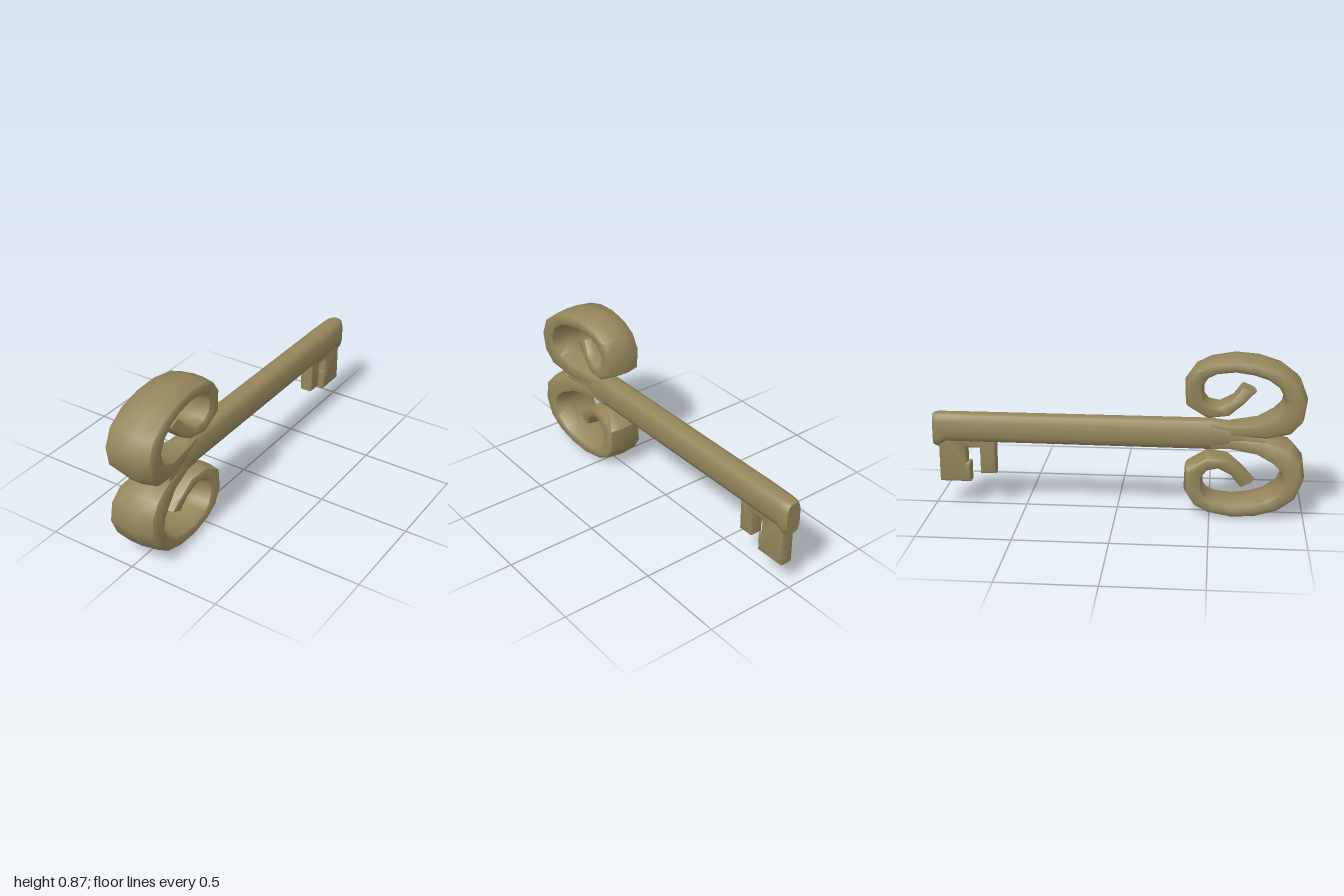
import * as THREE from 'three';
import { toCreasedNormals } from 'three/addons/utils/BufferGeometryUtils.js';

const material = new THREE.MeshStandardMaterial({ color: 0x94855a });
const MID = 0.436; // height of the shaft axis

// Half cross-sections: [share of half width, share from bottom to top]
const SCROLL = [[0.25, 1], [0.93, 0.88], [1, 0.72], [1, 0.28], [0.93, 0.12], [0.25, 0]];
const SHAFT = [[0.35, 1], [0.75, 0.95], [1, 0.75], [1, 0.25], [0.75, 0.05], [0.35, 0]];

// Lofts a symmetric section through stations [topZ, topY, bottomZ, bottomY, halfWidth]
function loft(name, stations, section) {
  const ringPoints = [
    ...section,
    ...section.slice().reverse().map(([x, s]) => [-x, s]),
  ];
  const n = ringPoints.length;
  const positions = [];
  for (const [tz, ty, bz, by, w] of stations) {
    for (const [x, s] of ringPoints) {
      positions.push(x * w, by + (ty - by) * s, bz + (tz - bz) * s);
    }
  }
  const index = [];
  for (let i = 0; i < stations.length - 1; i++) {
    for (let j = 0; j < n; j++) {
      const a = i * n + j, b = i * n + (j + 1) % n;
      index.push(a, a + n, b, b, a + n, b + n);
    }
  }
  const last = (stations.length - 1) * n;
  for (let j = 1; j < n - 1; j++) {
    index.push(0, j, j + 1, last, last + j + 1, last + j);
  }
  const geometry = new THREE.BufferGeometry();
  geometry.setAttribute('position', new THREE.Float32BufferAttribute(positions, 3));
  geometry.setIndex(index);
  const mesh = new THREE.Mesh(toCreasedNormals(geometry, 0.95), material);
  mesh.name = name;
  return mesh;
}

export function createModel() {
  const group = new THREE.Group();
  group.name = 'key';

  // Shaft, thickened at the tip and thinned where the scrolls fork
  const shaft = [
    [-1, 0.34, 0.515, 0.042], [-0.975, 0.33, 0.52, 0.052], [-0.93, 0.362, 0.52, 0.056],
    [-0.8, 0.363, 0.52, 0.06], [0.5, 0.358, 0.52, 0.061], [0.6, 0.37, 0.506, 0.065],
    [0.7, 0.385, 0.485, 0.08], [0.79, 0.42, 0.452, 0.095],
  ].map(([z, y0, y1, w]) => [z, y1, z, y0, w]);
  group.add(loft('shaft', shaft, SHAFT));

  // Upper scroll: inner edge, outer edge and half width along the curl
  const curl = [
    [0.50, 0.518, 0.50, 0.43, 0.055], [0.59, 0.507, 0.60, 0.43, 0.064],
    [0.74, 0.525, 0.79, 0.435, 0.1], [0.82, 0.568, 0.925, 0.47, 0.126],
    [0.865, 0.61, 0.985, 0.54, 0.135], [0.877, 0.66, 1.0, 0.65, 0.138],
    [0.845, 0.72, 0.96, 0.75, 0.136], [0.78, 0.765, 0.87, 0.82, 0.131],
    [0.71, 0.785, 0.75, 0.86, 0.124], [0.62, 0.796, 0.62, 0.872, 0.117],
    [0.53, 0.784, 0.49, 0.85, 0.11], [0.485, 0.76, 0.41, 0.81, 0.106],
    [0.46, 0.715, 0.36, 0.735, 0.102], [0.462, 0.66, 0.365, 0.61, 0.1],
    [0.485, 0.623, 0.48, 0.54, 0.092], [0.535, 0.61, 0.60, 0.555, 0.083],
    [0.605, 0.645, 0.68, 0.625, 0.073], [0.655, 0.715, 0.735, 0.68, 0.062],
  ];
  group.add(loft('upperScroll', curl, SCROLL));

  // Lower scroll mirrors the upper one across the shaft axis
  const mirrored = curl.map(([iz, iy, oz, oy, w]) => [oz, 2 * MID - oy, iz, 2 * MID - iy, w]);
  group.add(loft('lowerScroll', mirrored, SCROLL));

  // Notched bit under the tip, drawn with -z to the right and inset by the bevel
  const bevel = 0.012;
  const outline = [
    [0.672, 0.42], [0.672, 0.197], [0.733, 0.197], [0.733, 0.342], [0.832, 0.342],
    [0.832, 0.233], [0.812, 0.233], [0.812, 0.147], [0.958, 0.147], [0.958, 0.42],
  ].map(([u, v]) => new THREE.Vector2(u, v));
  const bitGeometry = new THREE.ExtrudeGeometry(new THREE.Shape(outline), {
    depth: 0.054, bevelEnabled: true, bevelSize: bevel, bevelThickness: bevel, bevelSegments: 2,
  });
  bitGeometry.translate(0, 0, -0.027);
  bitGeometry.rotateY(Math.PI / 2);
  const bit = new THREE.Mesh(toCreasedNormals(bitGeometry, 0.9), material);
  bit.name = 'bit';
  group.add(bit);

  return group;
}
